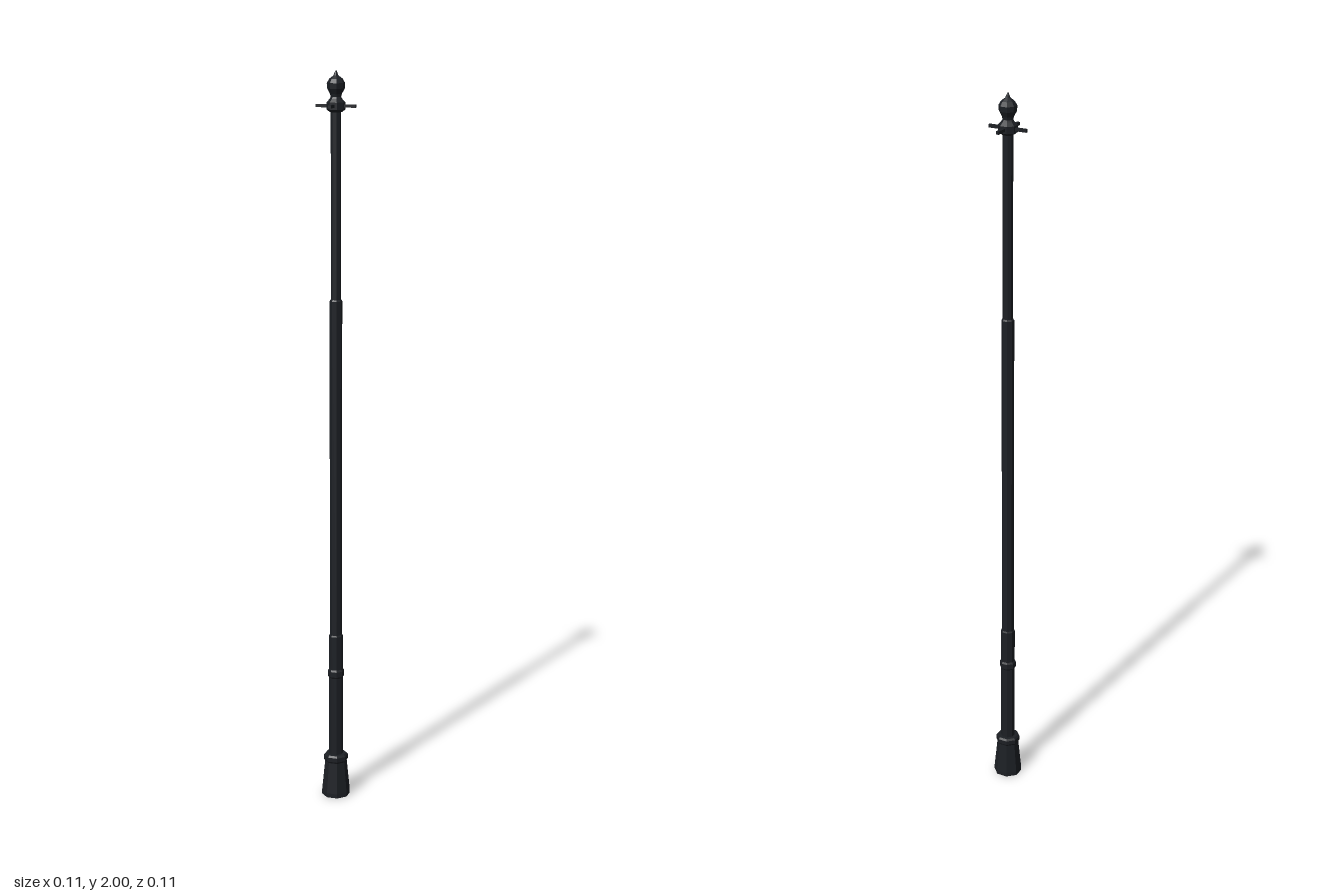
import * as THREE from 'three';

export function createModel() {
  const group = new THREE.Group();
  group.name = 'lampPost';
  const iron = new THREE.MeshStandardMaterial({ color: 0x1c1f24, flatShading: true });

  // Eight-sided turned part; profile holds [half width across flats, height], bottom to top
  const turned = (name, profile) => {
    const points = profile.map(([r, y]) => new THREE.Vector2(r / Math.cos(Math.PI / 8), y));
    const mesh = new THREE.Mesh(new THREE.LatheGeometry(points, 8, Math.PI / 8), iron);
    mesh.name = name;
    group.add(mesh);
  };

  // Flared foot with a stepped rim
  turned('base', [[0, 0], [0.036, 0], [0.036, 0.012], [0.028, 0.1], [0.031, 0.105],
    [0.031, 0.117], [0.027, 0.122], [0, 0.122]]);

  // Post in three steps, each slimmer than the one below
  turned('lowerShaft', [[0, 0.12], [0.018, 0.12], [0.018, 0.468], [0.016, 0.472], [0, 0.472]]);
  turned('middleShaft', [[0, 0.47], [0.0155, 0.47], [0.0155, 1.4], [0.013, 1.404], [0, 1.404]]);
  turned('upperShaft', [[0, 1.4], [0.0125, 1.4], [0.0125, 1.9], [0, 1.9]]);

  // Raised ring on the lower shaft
  turned('lowerCollar', [[0.018, 0.347], [0.021, 0.352], [0.021, 0.367], [0.018, 0.372]]);

  // Hub that carries the cross arms
  turned('armHub', [[0, 1.892], [0.014, 1.892], [0.023, 1.899], [0.023, 1.917],
    [0.015, 1.926], [0.012, 1.932], [0, 1.932]]);

  // Two crossed bars
  for (const turn of [0, Math.PI / 2]) {
    const arm = new THREE.Mesh(new THREE.BoxGeometry(0.108, 0.008, 0.008), iron);
    arm.name = 'crossArm';
    arm.position.y = 1.908;
    arm.rotation.y = turn;
    group.add(arm);
  }

  // Acorn finial with a pointed tip
  turned('finial', [[0, 1.928], [0.012, 1.928], [0.014, 1.938], [0.021, 1.952], [0.022, 1.966],
    [0.016, 1.977], [0.006, 1.985], [0.004, 1.991], [0, 2]]);

  return group;
}
